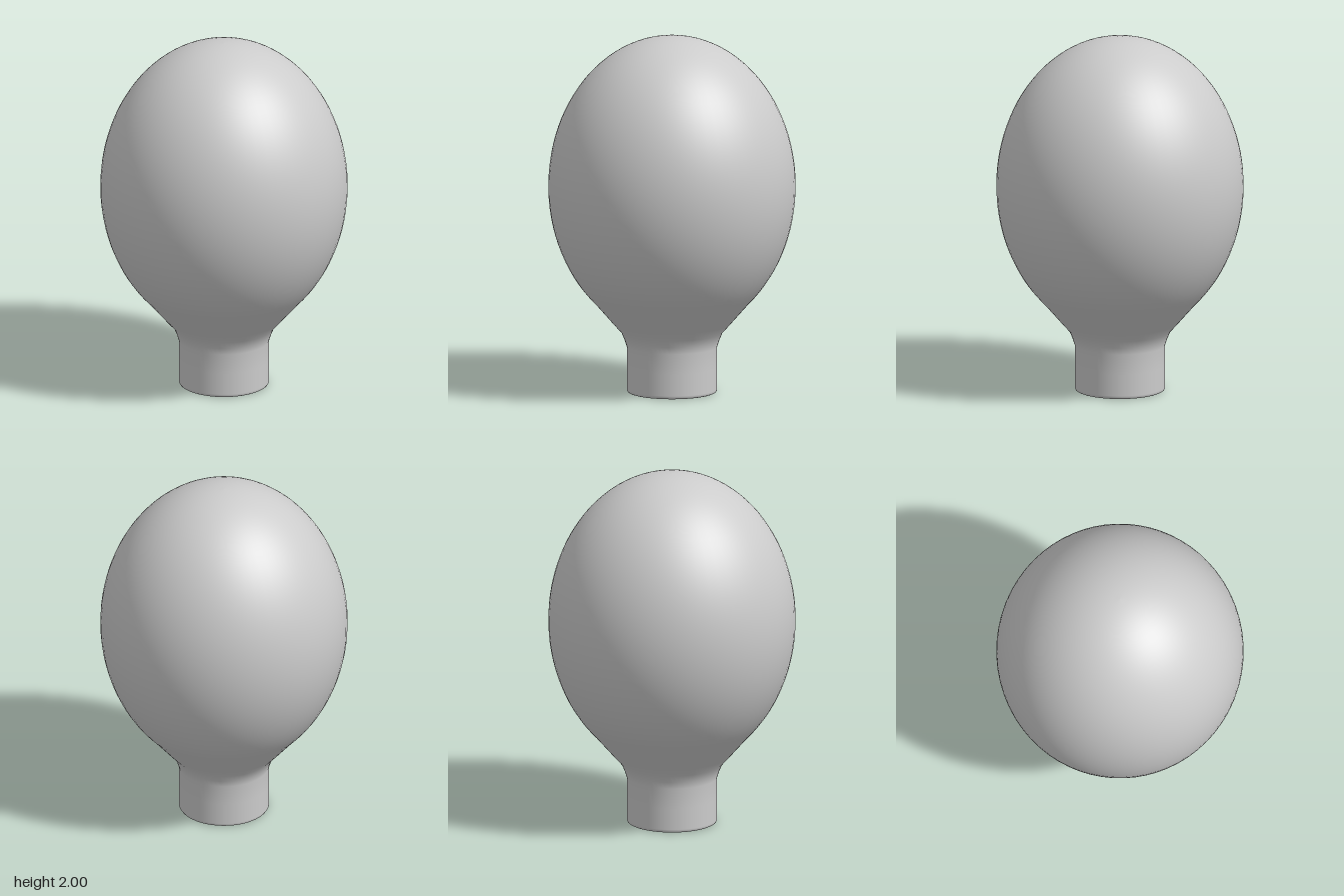
import * as THREE from 'three';

const MATERIAL = new THREE.MeshStandardMaterial({ color: 0xcccccc });

export function createModel() {
  const group = new THREE.Group();
  group.name = 'lightBulb';

  // Base cap with a tiny bevel, straight stem, then the flare into the globe
  const profile = [
    [0, 0], [0.232, 0], [0.238, 0.001], [0.246, 0.005], [0.25, 0.012], [0.25, 0.02],
    [0.25, 0.14], [0.25, 0.255], [0.263, 0.295], [0.28, 0.336], [0.325, 0.386], [0.372, 0.44],
  ].map(([r, y]) => new THREE.Vector2(r, y));

  // Egg-shaped globe: an ellipse from the flare up to the crown
  const radius = 0.685, height = 0.84, centre = 1.16, steps = 40;
  const start = Math.asin((0.505 - centre) / height);
  for (let i = 0; i <= steps; i++) {
    const a = THREE.MathUtils.lerp(start, Math.PI / 2, i / steps);
    const r = i === steps ? 0 : radius * Math.cos(a);
    profile.push(new THREE.Vector2(r, centre + height * Math.sin(a)));
  }

  const bulb = new THREE.Mesh(new THREE.LatheGeometry(profile, 64), MATERIAL);
  bulb.name = 'bulb';
  group.add(bulb);
  return group;
}
